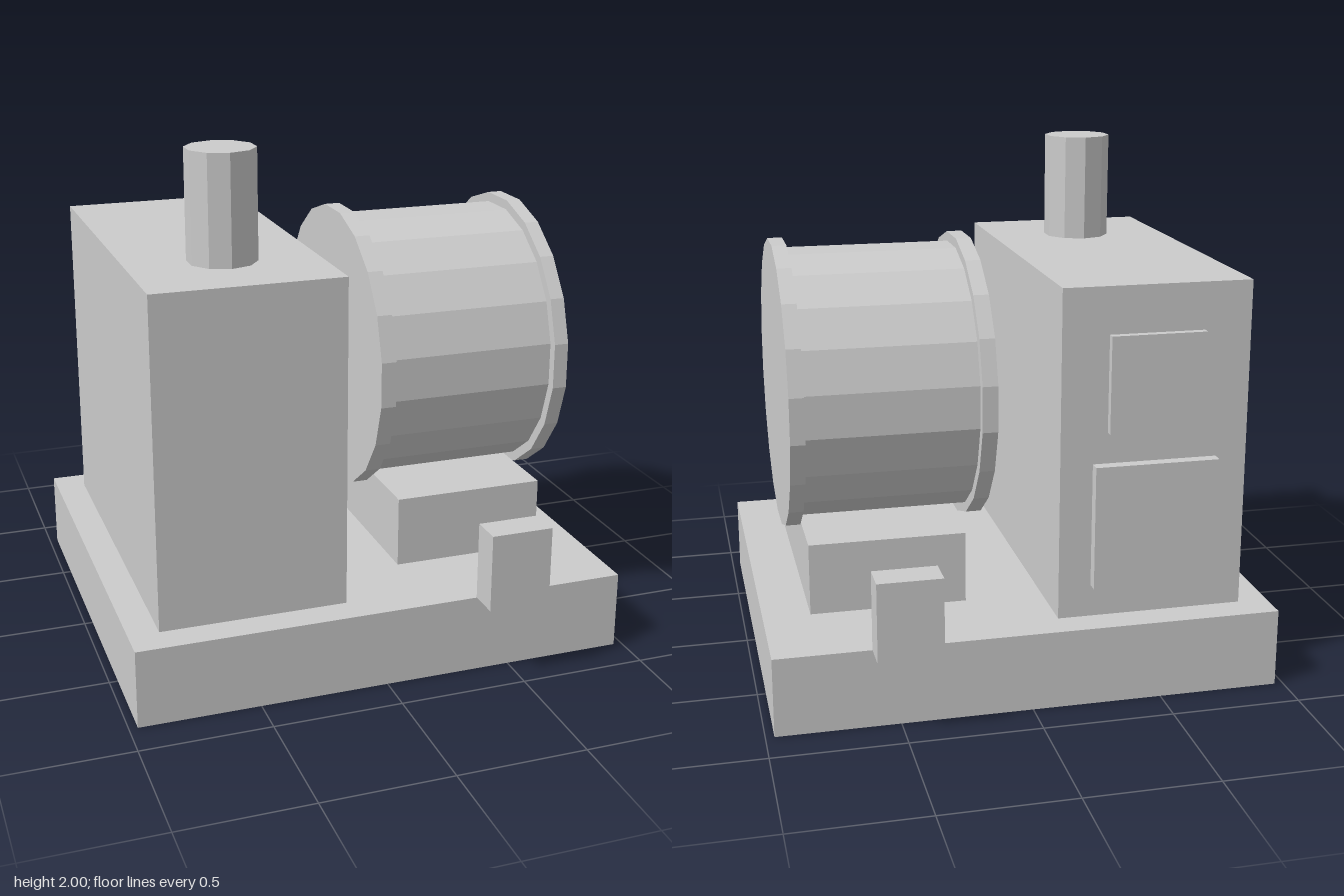
import * as THREE from 'three';

const material = new THREE.MeshStandardMaterial({ color: 0xcccccc, flatShading: true });

export function createModel() {
  const model = new THREE.Group();
  model.name = 'engineUnit';

  const add = (name, geometry, parent = model) => {
    const mesh = new THREE.Mesh(geometry, material);
    mesh.name = name;
    parent.add(mesh);
    return mesh;
  };

  // Box given by its extents on each axis
  const box = (name, [x0, x1], [y0, y1], [z0, z1]) =>
    add(name, new THREE.BoxGeometry(x1 - x0, y1 - y0, z1 - z0))
      .position.set((x0 + x1) / 2, (y0 + y1) / 2, (z0 + z1) / 2);

  const deck = 0.305;
  box('base', [-0.967, 0.967], [0, deck], [-0.85, 0.85]);

  // Cabinet with two raised panels on its back
  box('cabinet', [-0.85, -0.125], [deck, 1.58], [-0.73, 0.73]);
  box('lowerPanel', [-0.73, -0.25], [0.43, 0.91], [-0.775, -0.73]);
  box('upperPanel', [-0.67, -0.305], [1.03, 1.4], [-0.76, -0.73]);

  // Ten-sided exhaust stack
  add('exhaustStack', new THREE.CylinderGeometry(0.133, 0.133, 0.42, 10))
    .position.set(-0.485, 1.79, 0.362);

  // Drum lying along x, flats at top and bottom, with a rim at each end
  const drum = new THREE.Group();
  drum.name = 'drum';
  drum.position.y = 1.095;
  model.add(drum);
  const disc = (name, radius, x0, x1) => {
    const sides = 20;
    const geometry = new THREE.CylinderGeometry(
      radius, radius, x1 - x0, sides, 1, false, Math.PI / sides);
    geometry.rotateZ(Math.PI / 2);
    add(name, geometry, drum).position.x = (x0 + x1) / 2;
  };
  disc('drumBody', 0.532, 0.13, 0.79);
  disc('innerRim', 0.57, 0.07, 0.13);
  disc('outerRim', 0.57, 0.79, 0.847);

  // Block under the drum
  box('drumSupport', [0.18, 0.785], [deck, 0.585], [-0.485, 0.485]);

  // Lugs just outside the front and back edges of the base
  box('frontLug', [0.36, 0.603], [deck, 0.61], [0.847, 0.97]);
  box('backLug', [0.36, 0.603], [deck, 0.61], [-0.97, -0.847]);

  return model;
}
